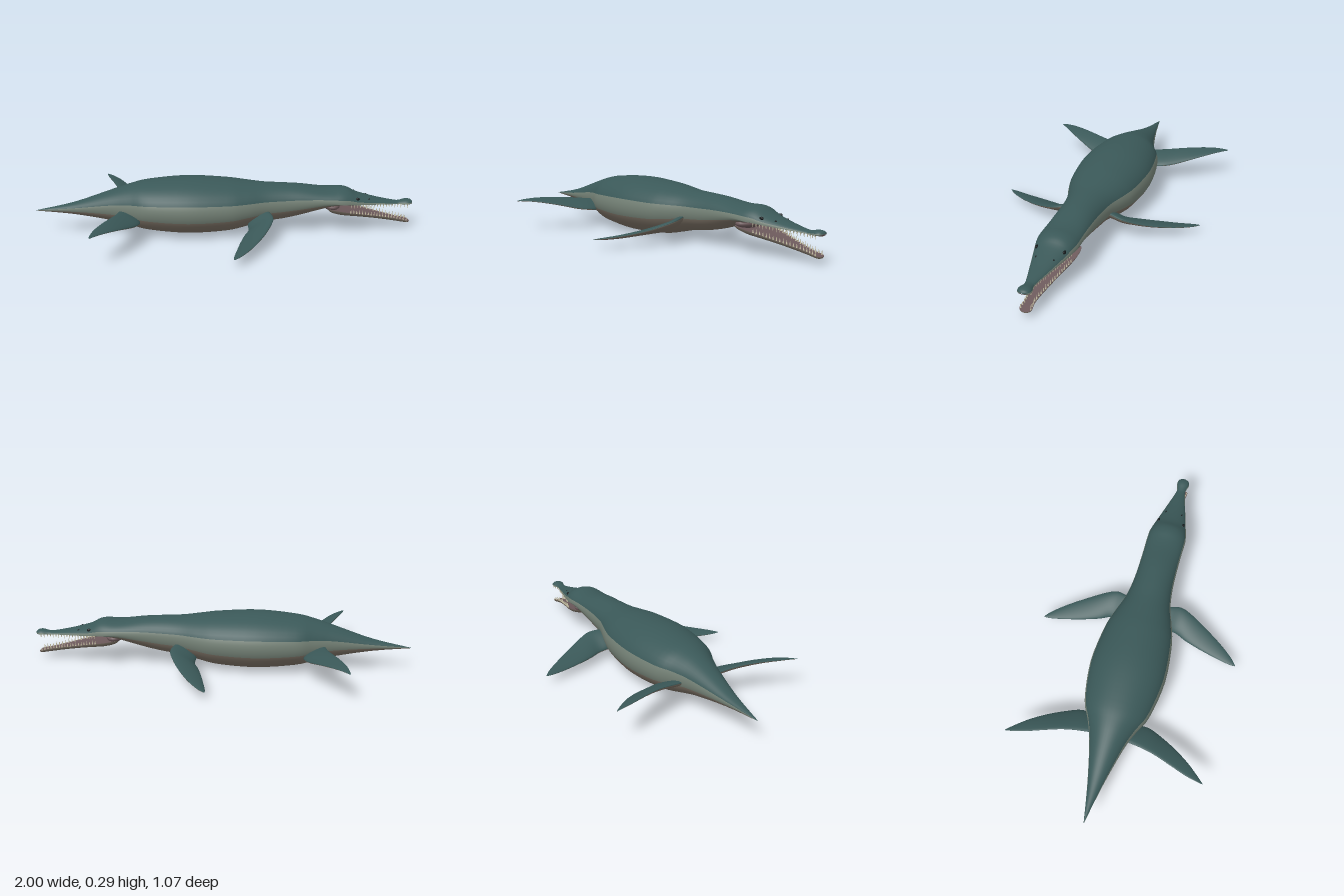
import * as THREE from 'three';

const mat = (color) => new THREE.MeshStandardMaterial({ color });

// Smoothly resample rows of numbers (Catmull-Rom per column)
function resample(rows, steps) {
  const out = [], last = rows.length - 1;
  for (let i = 0; i < last; i++) {
    const [a, b, c, d] = [rows[Math.max(i - 1, 0)], rows[i], rows[i + 1], rows[Math.min(i + 2, last)]];
    for (let s = 0; s < steps; s++) {
      const t = s / steps;
      out.push(b.map((v, k) => v + 0.5 * t * (c[k] - a[k]
        + t * (2 * a[k] - 5 * v + 4 * c[k] - d[k] + t * (3 * (v - c[k]) + d[k] - a[k])))));
    }
  }
  out.push(rows[last]);
  return out;
}

// Skin closed rings; bandOf(angle, row) names the coloured band of each quad
function loft(name, rows, sides, point, bandOf, mats, sharp = false) {
  const group = new THREE.Group();
  group.name = name;
  const pos = [], all = [], bands = {};
  for (const row of rows)
    for (let j = 0; j < sides; j++) pos.push(...point(row, (j / sides) * Math.PI * 2));
  for (let i = 0; i < rows.length - 1; i++) {
    for (let j = 0; j < sides; j++) {
      const k = (j + 1) % sides, p = i * sides, q = p + sides;
      const quad = [p + j, q + j, p + k, q + j, q + k, p + k];
      all.push(...quad);
      (bands[bandOf(((j + 0.5) / sides) * 360, rows[i])] ??= []).push(...quad);
    }
  }
  const whole = new THREE.BufferGeometry();
  whole.setAttribute('position', new THREE.Float32BufferAttribute(pos, 3));
  whole.setIndex(all);
  whole.computeVertexNormals();
  for (const band in bands) {
    const g = whole.clone();
    g.setIndex(bands[band]);
    if (sharp) g.computeVertexNormals();
    const mesh = new THREE.Mesh(g, mats[band]);
    mesh.name = name + band;
    group.add(mesh);
  }
  return group;
}

// Cross-section of body and jaw: row = x, top, widest height, bottom, half width
const section = ([x, top, mid, bottom, w], a) => {
  const s = Math.sin(a);
  return [x, mid + s * (s > 0 ? top - mid : mid - bottom), w * Math.cos(a)];
};

// Row interpolated at a given x
function rowAt(rows, x) {
  const i = Math.max(1, rows.findIndex((r) => r[0] >= x));
  const a = rows[i - 1], b = rows[i], t = (x - a[0]) / (b[0] - a[0]);
  return a.map((v, k) => v + (b[k] - v) * t);
}

export function createModel() {
  const model = new THREE.Group();
  const mats = {
    Back: mat(0x3a5858), Flank: mat(0x727f74), Belly: mat(0x776d61),
    Lining: mat(0x6c595b), Teeth: mat(0xc9c2a6), Eye: mat(0x14181a),
  };

  // Body from tail tip to snout, flat below from the mouth on
  const bodyRows = resample([
    [-1, 0.121, 0.12, 0.119, 0.001],
    [-0.8, 0.162, 0.132, 0.1, 0.04],
    [-0.6, 0.227, 0.145, 0.065, 0.09],
    [-0.5, 0.258, 0.147, 0.04, 0.128],
    [-0.4, 0.278, 0.147, 0.018, 0.174],
    [-0.2, 0.292, 0.146, 0, 0.203],
    [0, 0.281, 0.146, 0.008, 0.186],
    [0.1, 0.269, 0.15, 0.027, 0.16],
    [0.2, 0.257, 0.155, 0.05, 0.126],
    [0.3, 0.252, 0.157, 0.063, 0.11],
    [0.4, 0.245, 0.163, 0.085, 0.105],
    [0.5, 0.231, 0.168, 0.115, 0.104],
    [0.56, 0.228, 0.166, 0.135, 0.105],
    [0.61, 0.23, 0.16, 0.148, 0.104],
    [0.65, 0.222, 0.157, 0.151, 0.096],
    [0.7, 0.196, 0.151, 0.148, 0.083],
    [0.8, 0.168, 0.143, 0.141, 0.055],
    [0.9, 0.149, 0.135, 0.133, 0.028],
    [0.93, 0.149, 0.134, 0.131, 0.025],
    [0.965, 0.156, 0.135, 0.13, 0.034],
    [0.99, 0.152, 0.137, 0.13, 0.027],
    [1, 0.141, 0.14, 0.139, 0.002],
  ], 4);
  model.add(loft('body', bodyRows, 40, section, (deg, row) => {
    if (deg > 18 && deg < 162) return 'Back';
    if (deg < 180 || deg > 342 || deg < 198) return 'Flank';
    return row[0] > 0.58 ? 'Lining' : 'Belly';
  }, mats));

  // Open lower jaw with a trough along the top
  const jawRows = resample([
    [0.535, 0.128, 0.128, 0.127, 0.06],
    [0.55, 0.126, 0.131, 0.102, 0.097],
    [0.6, 0.112, 0.121, 0.085, 0.1],
    [0.65, 0.101, 0.111, 0.078, 0.093],
    [0.7, 0.09, 0.101, 0.071, 0.08],
    [0.8, 0.069, 0.079, 0.055, 0.053],
    [0.9, 0.05, 0.057, 0.036, 0.029],
    [0.94, 0.043, 0.048, 0.029, 0.027],
    [0.97, 0.037, 0.041, 0.025, 0.03],
    [0.985, 0.034, 0.036, 0.027, 0.018],
    [0.988, 0.034, 0.034, 0.033, 0.001],
  ], 4);
  model.add(loft('lowerJaw', jawRows, 32, section, (deg) => (deg < 180 ? 'Lining' : 'Belly'), mats, true));

  // Soft tissue at the back of the mouth
  const ball = new THREE.SphereGeometry(1, 20, 14);
  const addBall = (name, material, p, s) => {
    const m = new THREE.Mesh(ball, material);
    m.name = name;
    m.position.set(...p);
    m.scale.set(...s);
    model.add(m);
  };
  addBall('throat', mats.Lining, [0.56, 0.138, 0], [0.05, 0.027, 0.092]);

  // Teeth along both jaws
  const teeth = new THREE.Group();
  teeth.name = 'teeth';
  const cone = new THREE.ConeGeometry(0.0042, 0.024, 6);
  for (const [rows, dir] of [[bodyRows, -1], [jawRows, 1]]) {
    for (let i = 0; i < 20; i++) {
      const [x, , mid, , w] = rowAt(rows, 0.655 + i * 0.0165);
      for (const side of [-1, 1]) {
        const tooth = new THREE.Mesh(cone, mats.Teeth);
        tooth.name = 'tooth';
        tooth.position.set(x, mid + dir * 0.009, side * (w - 0.005));
        tooth.rotation.x = dir < 0 ? Math.PI : 0;
        tooth.scale.y = 0.85 + 0.25 * (i % 2);
        teeth.add(tooth);
      }
    }
  }
  model.add(teeth);

  // Eyes and nostrils sit on the skin
  for (const side of [-1, 1]) {
    for (const [name, x, a, r] of [['eye', 0.69, 0.62, 0.01], ['nostril', 0.755, 0.85, 0.005]]) {
      const [px, py, pz] = section(rowAt(bodyRows, x), a);
      addBall(name, mats.Eye, [px, py, side * pz], [r * 1.2, r * 0.8, r * 0.7]);
    }
  }

  // Flippers, tip to root: z, leading x, y, trailing x, y, half thickness
  const flippers = {
    frontFlipper: [
      [0.537, 0.02, 0.045, 0.016, 0.045, 0.001],
      [0.5, 0.06, 0.05, 0.018, 0.043, 0.005],
      [0.42, 0.12, 0.062, 0.035, 0.042, 0.009],
      [0.32, 0.18, 0.082, 0.06, 0.046, 0.013],
      [0.24, 0.22, 0.105, 0.085, 0.05, 0.017],
      [0.18, 0.237, 0.122, 0.11, 0.055, 0.02],
      [0.12, 0.222, 0.13, 0.11, 0.065, 0.022],
      [0.06, 0.2, 0.13, 0.12, 0.075, 0.02],
    ],
    hindFlipper: [
      [0.517, -0.663, 0.157, -0.667, 0.158, 0.001],
      [0.48, -0.63, 0.157, -0.662, 0.163, 0.004],
      [0.42, -0.58, 0.15, -0.648, 0.166, 0.007],
      [0.34, -0.525, 0.133, -0.62, 0.165, 0.01],
      [0.25, -0.475, 0.11, -0.588, 0.158, 0.014],
      [0.18, -0.447, 0.1, -0.57, 0.148, 0.016],
      [0.12, -0.45, 0.095, -0.56, 0.14, 0.018],
      [0.05, -0.47, 0.1, -0.55, 0.135, 0.016],
    ],
  };
  const blade = ([z, lx, ly, tx, ty, th], a) => {
    const c = (1 + Math.cos(a)) / 2;
    return [tx + (lx - tx) * c, ty + (ly - ty) * c + th * Math.sin(a), z];
  };
  for (const name in flippers) {
    for (const side of [-1, 1]) {
      const f = loft(name, resample(flippers[name], 4), 24, blade, (deg) => (deg < 180 ? 'Back' : 'Belly'), mats);
      f.scale.z = side;
      model.add(f);
    }
  }
  return model;
}
